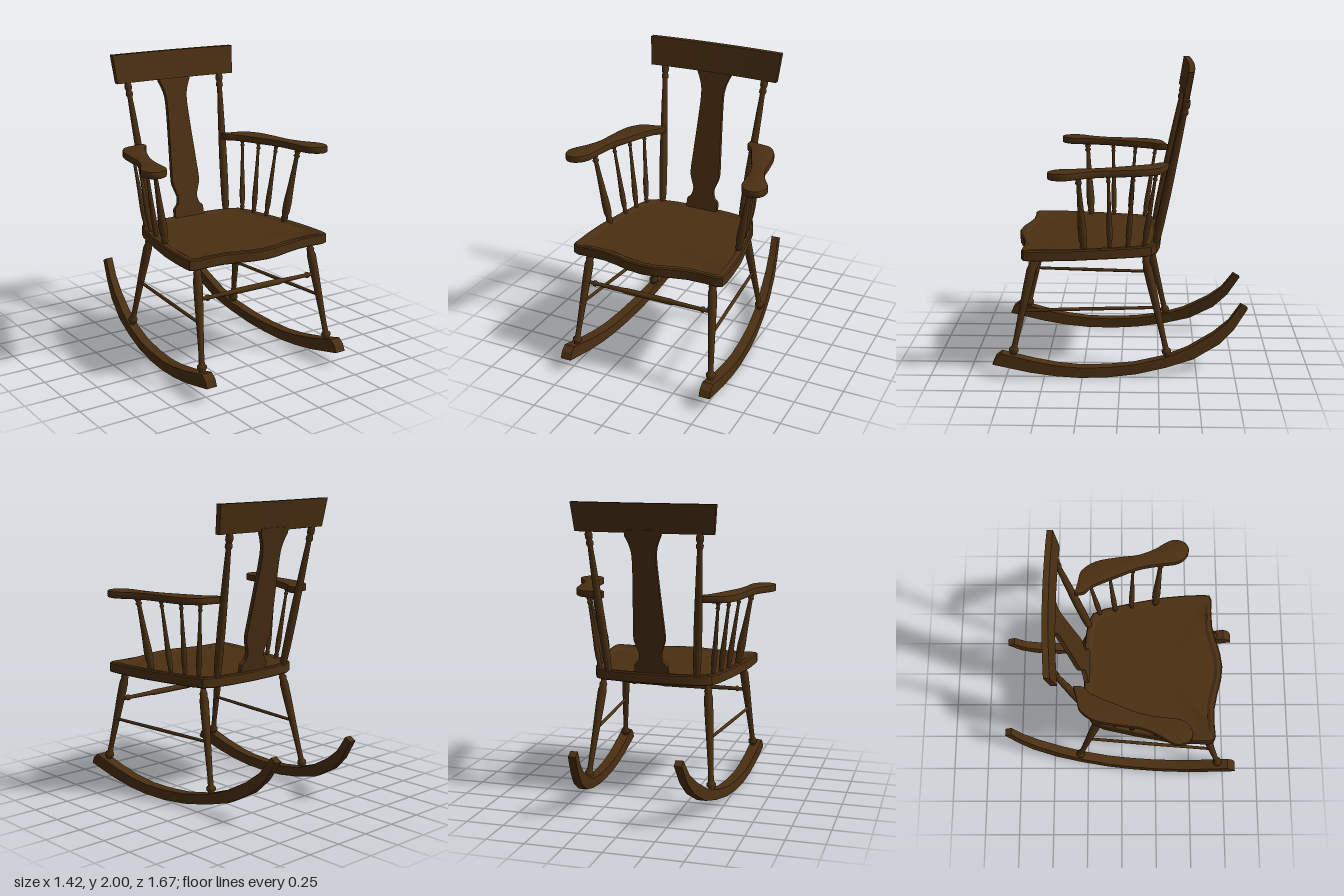
import * as THREE from 'three';
import { toCreasedNormals } from 'three/addons/utils/BufferGeometryUtils.js';

const V2 = (p) => new THREE.Vector2(p[0], p[1]);

export function createModel() {
  const chair = new THREE.Group();
  chair.name = 'rockingChair';
  const wood = new THREE.MeshStandardMaterial({ color: 0x4a2f12 });
  wood.name = 'darkWood';

  const add = (name, geometry) => {
    const mesh = new THREE.Mesh(geometry, wood);
    mesh.name = name;
    chair.add(mesh);
    return mesh;
  };

  // Skin over a list of rings, closed at both ends by fans
  const loft = (rings, crease = 0.6) => {
    const pos = [];
    const tri = (a, b, c) => pos.push(...a, ...b, ...c);
    const n = rings[0].length;
    const centre = (r) => [0, 1, 2].map((k) => r.reduce((s, p) => s + p[k], 0) / n);
    const first = rings[0], last = rings[rings.length - 1];
    for (let j = 0; j < n; j++) {
      const k = (j + 1) % n;
      for (let i = 0; i + 1 < rings.length; i++) {
        tri(rings[i][j], rings[i][k], rings[i + 1][k]);
        tri(rings[i][j], rings[i + 1][k], rings[i + 1][j]);
      }
      tri(centre(first), first[k], first[j]);
      tri(centre(last), last[j], last[k]);
    }
    const g = new THREE.BufferGeometry();
    g.setAttribute('position', new THREE.Float32BufferAttribute(pos, 3));
    return toCreasedNormals(g, crease);
  };

  // Turned wooden rod from a to b; profile holds [fraction, radius]
  const turned = (name, a, b, profile) => {
    const A = new THREE.Vector3(...a), B = new THREE.Vector3(...b);
    const dir = B.clone().sub(A), len = dir.length();
    const pts = profile.map(([t, r]) => new THREE.Vector2(r, t * len));
    const mesh = add(name, new THREE.LatheGeometry(pts, 14));
    mesh.position.copy(A);
    mesh.quaternion.setFromUnitVectors(new THREE.Vector3(0, 1, 0), dir.normalize());
  };

  // Seat: shaped slab with a shallow dished top
  const half = [[0, 0.695], [0.1, 0.683], [0.2, 0.655], [0.3, 0.633], [0.42, 0.63], [0.5, 0.635],
    [0.535, 0.62], [0.54, 0.58], [0.535, 0.45], [0.52, 0.29], [0.48, 0.08], [0.435, -0.12],
    [0.4, -0.2], [0.34, -0.235], [0.2, -0.256], [0, -0.265]];
  const outline = [...half, ...half.slice(1, -1).reverse().map(([x, z]) => [-x, z])];
  const seatRing = (s, y) => outline.map(([x, z]) => [x * s, y, 0.2 + (z - 0.2) * s]);
  add('seat', loft([seatRing(0.99, 0.8), seatRing(1, 0.805), seatRing(1, 0.862), seatRing(0.985, 0.87),
    seatRing(0.93, 0.87), seatRing(0.89, 0.858)], 0.5));

  // Crest rail: bowed, leaning board
  const crest = [];
  for (let i = 0; i <= 12; i++) {
    const u = i / 6 - 1, zt = -0.475 + 0.018 * u * u, zb = zt + 0.032;
    crest.push([[u * 0.46, 1.81, zb], [u * 0.478, 2, zt], [u * 0.478, 2, zt + 0.038], [u * 0.46, 1.81, zb + 0.038]]);
  }
  add('crestRail', loft(crest));

  // Back splat: vase-shaped board
  const edge = new THREE.SplineCurve([[0.115, 0.9], [0.11, 0.925], [0.085, 0.95], [0.075, 1.0], [0.092, 1.05],
    [0.107, 1.11], [0.1, 1.25], [0.088, 1.45], [0.08, 1.62], [0.085, 1.7], [0.105, 1.76], [0.12, 1.79]].map(V2)).getPoints(44);
  const L = Math.hypot(0.97, 0.2);
  const side = [new THREE.Vector2(0.115, 0.86), ...edge, new THREE.Vector2(0.12, 1.83)]
    .map((p) => new THREE.Vector2(p.x, ((p.y - 0.86) / 0.97) * L));
  const splatShape = new THREE.Shape([...side, ...side.slice().reverse().map((p) => new THREE.Vector2(-p.x, p.y))]);
  const splat = add('backSplat', toCreasedNormals(
    new THREE.ExtrudeGeometry(splatShape, { depth: 0.03, bevelEnabled: false }), 0.6));
  splat.position.set(0, 0.86, -0.25);
  splat.rotation.x = -Math.atan2(0.2, 0.97);

  // Turning profiles
  const legProfile = [[0, 0.02], [0.05, 0.02], [0.065, 0.031], [0.09, 0.031], [0.11, 0.019], [0.2, 0.018], [0.45, 0.023],
    [0.7, 0.029], [0.85, 0.03], [0.89, 0.023], [0.91, 0.027], [0.93, 0.02], [1, 0.016]];
  const postProfile = [[0, 0.017], [0.03, 0.024], [0.12, 0.027], [0.35, 0.028], [0.5, 0.026], [0.75, 0.021], [0.89, 0.017],
    [0.9, 0.024], [0.92, 0.024], [0.93, 0.018], [0.95, 0.025], [0.97, 0.025], [1, 0.018]];
  const spindleProfile = [[0, 0.6], [0.03, 0.6], [0.05, 0.9], [0.08, 0.7], [0.15, 0.95], [0.27, 1], [0.45, 0.8], [0.7, 0.6],
    [0.88, 0.5], [0.89, 0.75], [0.91, 0.75], [0.92, 0.5], [0.95, 0.75], [0.97, 0.6], [1, 0.55]];

  // Rocker stations: [z bottom, y bottom, z top, y top, x centre, half width]
  const rocker = [[0.835, 0.1, 0.815, 0.145, 0.51, 0.037], [0.83, 0.098, 0.775, 0.175, 0.51, 0.037],
    [0.59, 0.042, 0.57, 0.12, 0.502, 0.036], [0.42, 0.015, 0.41, 0.087, 0.494, 0.036], [0.26, 0.001, 0.26, 0.07, 0.486, 0.035],
    [0.08, 0.002, 0.085, 0.07, 0.473, 0.034], [-0.1, 0.017, -0.09, 0.083, 0.457, 0.033], [-0.3, 0.055, -0.28, 0.118, 0.432, 0.032],
    [-0.48, 0.105, -0.44, 0.175, 0.407, 0.03], [-0.65, 0.2, -0.61, 0.27, 0.379, 0.028], [-0.75, 0.3, -0.71, 0.35, 0.36, 0.026],
    [-0.835, 0.435, -0.79, 0.46, 0.345, 0.025]];

  // Arm outline in x, z
  const armPoints = [[0.32, -0.31], [0.4, -0.29], [0.485, -0.265], [0.55, -0.17], [0.58, -0.02], [0.597, 0.11],
    [0.64, 0.22], [0.69, 0.3], [0.708, 0.36], [0.685, 0.425], [0.63, 0.447], [0.575, 0.42], [0.54, 0.36], [0.527, 0.25],
    [0.5, 0.11], [0.44, -0.04], [0.375, -0.19], [0.325, -0.25]];

  // Spindles: [x bottom, z bottom, x top, z top, radius]
  const spindles = [[0.475, 0.235, 0.565, 0.262, 0.028], [0.445, 0.068, 0.52, 0.075, 0.019],
    [0.42, -0.045, 0.485, -0.085, 0.019], [0.395, -0.15, 0.445, -0.228, 0.019]];

  for (const s of [1, -1]) {
    const tag = s > 0 ? 'left' : 'right';

    add(tag + 'Rocker', loft(rocker.map(([zb, yb, zt, yt, x, w]) => [
      [s * x + w, yb, zb], [s * x - w, yb, zb], [s * x - w, yt, zt], [s * x + w, yt, zt]]), 0.45));

    turned(tag + 'FrontLeg', [s * 0.5, 0.13, 0.71], [s * 0.44, 0.82, 0.555], legProfile);
    turned(tag + 'BackLeg', [s * 0.432, 0.1, -0.315], [s * 0.36, 0.82, -0.15], legProfile);
    turned(tag + 'SideStretcher', [s * 0.472, 0.45, 0.635], [s * 0.398, 0.45, -0.235], [[0, 0.01], [0.5, 0.012], [1, 0.01]]);
    turned(tag + 'BackPost', [s * 0.305, 0.86, -0.228], [s * 0.37, 1.82, -0.42], postProfile);

    const curve = new THREE.SplineCurve([...armPoints, armPoints[0]].map(([x, z]) => new THREE.Vector2(s * x, -z)));
    const arm = new THREE.ExtrudeGeometry(new THREE.Shape(curve.getPoints(72).slice(0, -1)),
      { depth: 0.033, bevelThickness: 0.006, bevelSize: 0.006, bevelOffset: -0.006, bevelSegments: 2 });
    arm.rotateX(-Math.PI / 2).translate(0, 1.366, 0);
    add(tag + 'Arm', toCreasedNormals(arm, 0.6));

    for (const [xb, zb, xt, zt, r] of spindles) {
      turned(tag + 'ArmSpindle', [s * xb, 0.86, zb], [s * xt, 1.37, zt], spindleProfile.map(([t, k]) => [t, k * r]));
    }
  }

  // Front stretcher with a thicker middle
  turned('frontStretcher', [-0.46, 0.595, 0.605], [0.46, 0.595, 0.605], [[0, 0.012], [0.06, 0.013], [0.065, 0.02], [0.08, 0.02],
    [0.085, 0.013], [0.3, 0.016], [0.32, 0.02], [0.68, 0.02], [0.7, 0.016], [0.915, 0.013], [0.92, 0.02], [0.935, 0.02], [0.94, 0.013], [1, 0.012]]);

  return chair;
}
